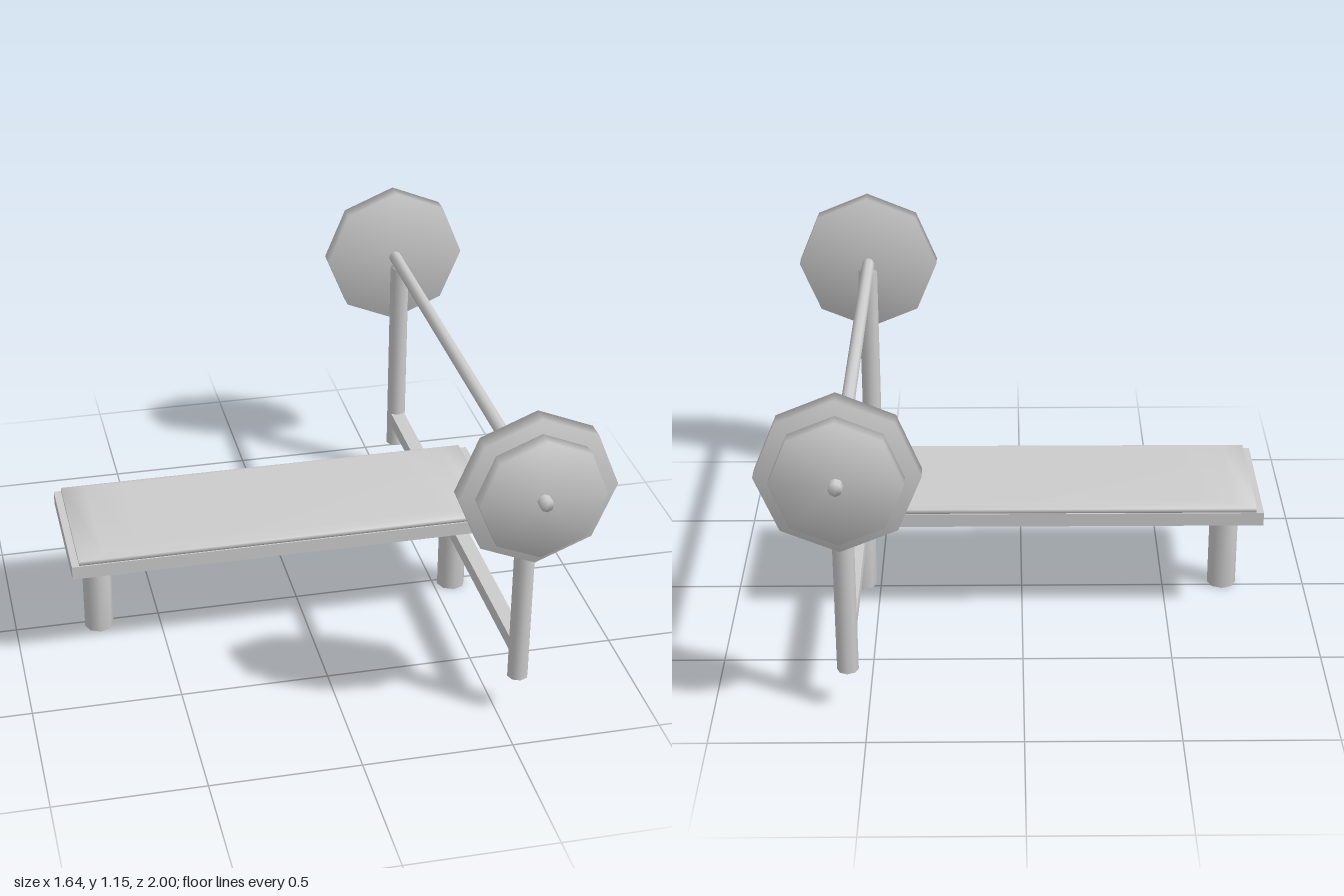
import * as THREE from 'three';
import { mergeVertices } from 'three/addons/utils/BufferGeometryUtils.js';

const RACK_X = 0.565; // line of the barbell, uprights and head leg
const BENCH_Z = 0.023;
const BAR_Y = 0.893;

// Weld all corners so shading flows softly across edges
function soften(geometry) {
  geometry.deleteAttribute('uv');
  geometry.deleteAttribute('normal');
  const welded = mergeVertices(geometry, 1e-4);
  welded.computeVertexNormals();
  return welded;
}

// Low-sided cylinder with softened ends
function rod(radius, length, sides = 8) {
  return soften(new THREE.CylinderGeometry(radius, radius, length, sides));
}

// Padded slab from stacked rectangular rings: [halfX, halfZ, y]
function padGeometry(rings) {
  const pos = [], idx = [];
  for (const [hx, hz, y] of rings) {
    pos.push(-hx, y, hz, hx, y, hz, hx, y, -hz, -hx, y, -hz);
  }
  for (let r = 0; r < rings.length - 1; r++) {
    for (let i = 0; i < 4; i++) {
      const a = r * 4 + i, b = r * 4 + (i + 1) % 4;
      idx.push(a, b, b + 4, a, b + 4, a + 4);
    }
  }
  const t = (rings.length - 1) * 4;
  idx.push(t, t + 1, t + 2, t, t + 2, t + 3, 0, 2, 1, 0, 3, 2);
  const g = new THREE.BufferGeometry();
  g.setAttribute('position', new THREE.Float32BufferAttribute(pos, 3));
  g.setIndex(idx);
  g.computeVertexNormals();
  return g;
}

export function createModel() {
  const model = new THREE.Group();
  model.name = 'weightBench';
  const grey = new THREE.MeshStandardMaterial({ color: 0xcccccc });
  grey.name = 'light grey';

  const add = (name, geometry, x, y, z) => {
    const mesh = new THREE.Mesh(geometry, grey);
    mesh.name = name;
    mesh.position.set(x, y, z);
    model.add(mesh);
    return mesh;
  };

  // Bench board and cushion
  add('benchBoard', new THREE.BoxGeometry(1.5, 0.047, 0.505), -0.07, 0.382, BENCH_Z);
  add('cushion', padGeometry([
    [0.722, 0.247, 0],
    [0.722, 0.247, 0.016],
    [0.64, 0.225, 0.026],
    [0.51, 0.205, 0.03],
  ]), -0.073, 0.405, BENCH_Z);

  // Bench legs
  add('footLeg', rod(0.05, 0.362), -0.712, 0.181, BENCH_Z);
  add('headLeg', rod(0.05, 0.362), RACK_X, 0.181, BENCH_Z);

  // Rack: uprights joined by a cross beam
  add('crossBeam', new THREE.BoxGeometry(0.05, 0.05, 1.57), RACK_X, 0.25, 0.015);
  add('frontUpright', rod(0.035, 0.74), RACK_X, 0.51, 0.815);
  add('backUpright', rod(0.035, 0.74), RACK_X, 0.51, -0.785);

  // Barbell with a large and a small plate at each end
  add('bar', rod(0.0225, 2), RACK_X, BAR_Y, 0).rotation.x = Math.PI / 2;
  for (const s of [1, -1]) {
    const end = s > 0 ? 'front' : 'back';
    add(end + 'LargePlate', rod(0.255, 0.06), RACK_X, BAR_Y, s * 0.887).rotation.x = Math.PI / 2;
    add(end + 'SmallPlate', rod(0.205, 0.07), RACK_X, BAR_Y, s * 0.933).rotation.x = Math.PI / 2;
  }
  return model;
}
